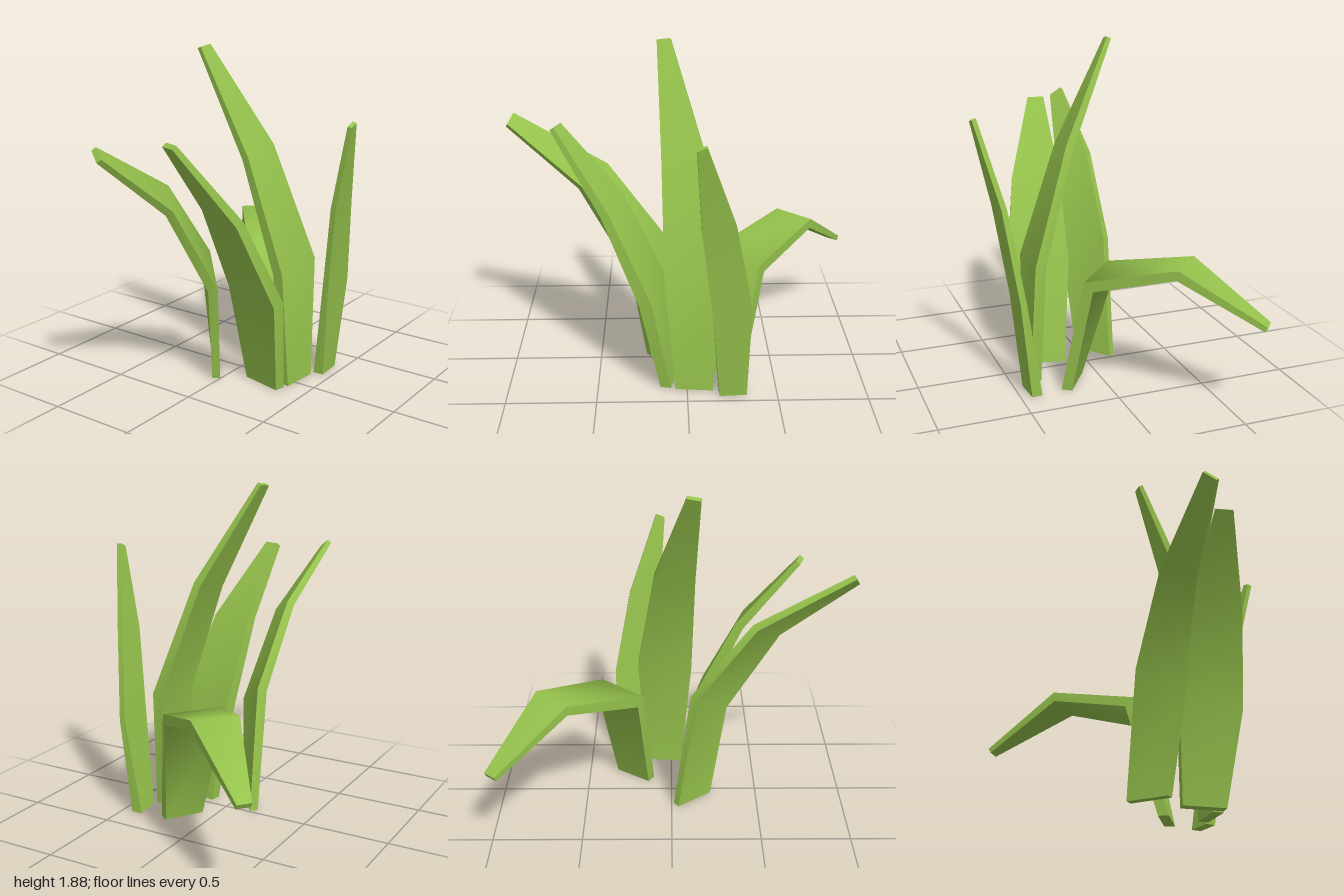
import * as THREE from 'three';

const V = (p) => new THREE.Vector3(...p);

// Each blade: four stations from base to tip, given as [left, right] of the outer face, and the thickness there.
const BLADES = {
  frontRightBlade: {
    rings: [
      [[-0.185, 0, 0.04], [-0.04, 0, 0.23]],
      [[-0.185, 0.70, 0.14], [0.005, 0.56, 0.32]],
      [[-0.195, 1.14, 0.46], [-0.05, 1.05, 0.60]],
      [[-0.2, 1.44, 0.97], [-0.14, 1.39, 1.0]],
    ],
    thick: [0.045, 0.055, 0.045, 0.03],
  },
  frontLeftBlade: {
    rings: [
      [[0.11, 0, 0.10], [0.345, 0, 0.15]],
      [[0.05, 0.57, 0.19], [0.40, 0.53, 0.26]],
      [[0.03, 1.05, 0.40], [0.30, 1.01, 0.46]],
      [[0.02, 1.44, 0.70], [0.11, 1.44, 0.73]],
    ],
    thick: [0.06, 0.07, 0.05, 0.03],
  },
  tallBlade: {
    rings: [
      [[0.33, 0, -0.15], [0.31, 0, 0.06]],
      [[0.31, 0.68, -0.2], [0.30, 0.66, 0.12]],
      [[0.11, 1.32, -0.1], [0.10, 1.28, 0.13]],
      [[-0.17, 1.87, 0.075], [-0.18, 1.86, 0.15]],
    ],
    thick: [0.06, 0.06, 0.045, 0.025],
  },
  leftBlade: {
    rings: [
      [[0.45, 0, -0.18], [0.44, 0, -0.33]],
      [[0.50, 0.55, -0.13], [0.50, 0.55, -0.345]],
      [[0.57, 1.03, -0.07], [0.565, 1.05, -0.25]],
      [[0.67, 1.49, -0.04], [0.67, 1.51, -0.09]],
    ],
    thick: [0.06, 0.035, 0.03, 0.025],
  },
  droopingBackBlade: {
    rings: [
      [[0.21, 0, -0.33], [0.08, 0, -0.14]],
      [[0.13, 0.61, -0.44], [-0.10, 0.62, -0.19]],
      [[-0.21, 0.735, -0.74], [-0.39, 0.735, -0.56]],
      [[-0.6, 0.49, -0.98], [-0.65, 0.49, -0.92]],
    ],
    thick: [0.06, 0.07, 0.055, 0.03],
  },
};

// Rectangular sections swept along the blade: smooth along its length, sharp on its long edges
function bladeGeometry({ rings, thick }) {
  const pairs = rings.map(([l, r]) => [V(l), V(r)]);
  const mids = pairs.map(([l, r]) => l.clone().add(r).multiplyScalar(0.5));
  const last = pairs.length - 1;

  const sections = pairs.map(([l, r], i) => {
    const tangent = new THREE.Vector3();
    if (i > 0) tangent.add(mids[i].clone().sub(mids[i - 1]).normalize());
    if (i < last) tangent.add(mids[i + 1].clone().sub(mids[i]).normalize());
    if (i === 0) tangent.set(0, 1, 0); // flat on the ground
    const inward = r.clone().sub(l).cross(tangent).normalize().multiplyScalar(-thick[i]);
    return [l, r, r.clone().add(inward), l.clone().add(inward)];
  });

  const pos = [];
  const index = [];
  const push = (...pts) => pts.forEach((p) => pos.push(p.x, p.y, p.z));

  // four long faces
  for (let k = 0; k < 4; k++) {
    const start = pos.length / 3;
    sections.forEach((s) => push(s[k], s[(k + 1) % 4]));
    for (let i = 0; i < last; i++) {
      const a = start + 2 * i;
      index.push(a, a + 1, a + 3, a, a + 3, a + 2);
    }
  }
  // base and tip caps
  const base = pos.length / 3;
  push(...sections[0]);
  index.push(base, base + 2, base + 1, base, base + 3, base + 2);
  const tip = base + 4;
  push(...sections[last]);
  index.push(tip, tip + 1, tip + 2, tip, tip + 2, tip + 3);

  const geometry = new THREE.BufferGeometry();
  geometry.setAttribute('position', new THREE.Float32BufferAttribute(pos, 3));
  geometry.setIndex(index);
  geometry.computeVertexNormals();
  return geometry;
}

export function createModel() {
  const group = new THREE.Group();
  group.name = 'grassTuft';
  const green = new THREE.MeshStandardMaterial({ color: 0x95c24c });
  green.name = 'leafGreen';

  for (const [name, blade] of Object.entries(BLADES)) {
    const mesh = new THREE.Mesh(bladeGeometry(blade), green);
    mesh.name = name;
    group.add(mesh);
  }
  return group;
}
